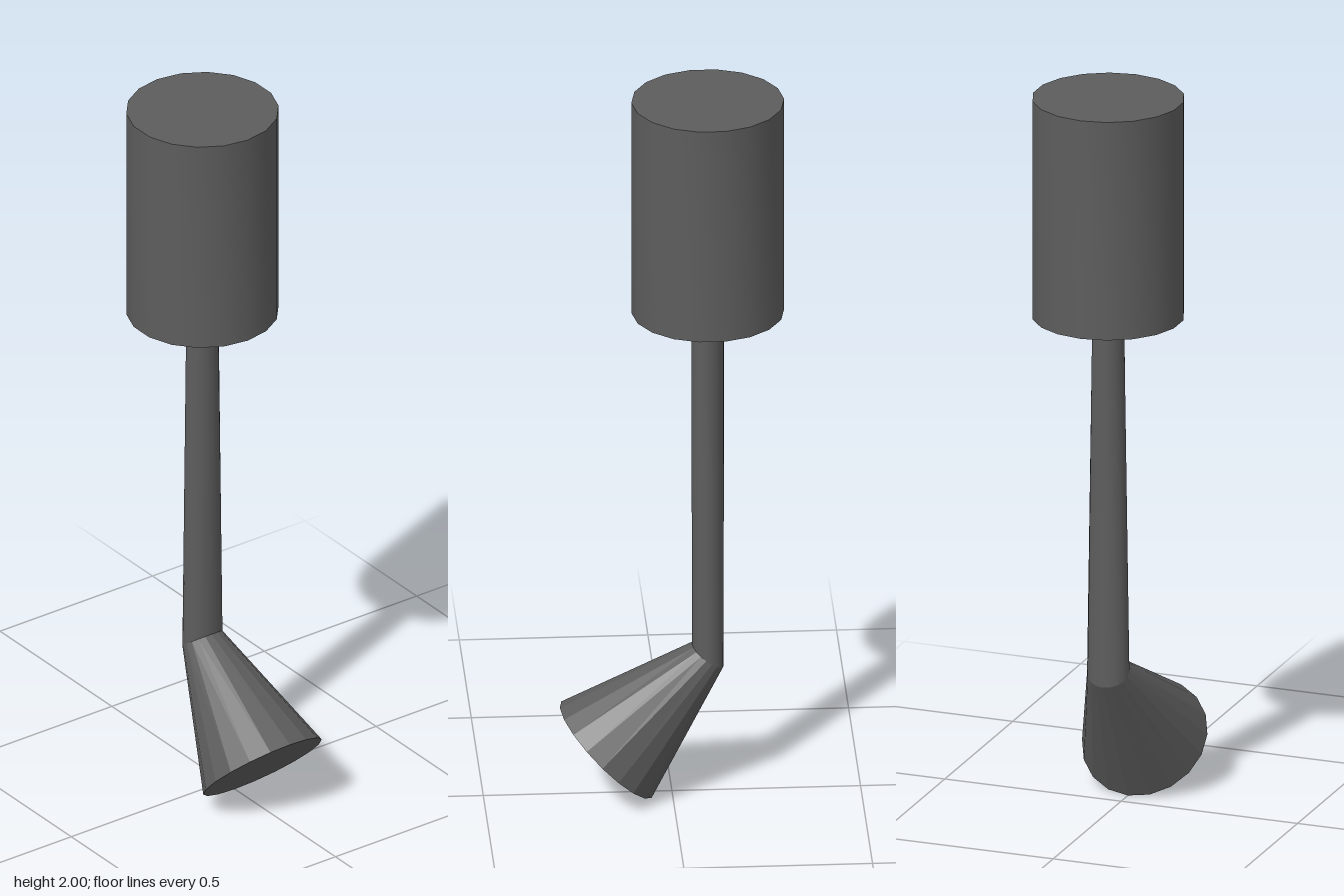
import * as THREE from 'three';
import { toCreasedNormals } from 'three/addons/utils/BufferGeometryUtils.js';

const SIDES = 18;
const AXIS = -0.095;

// Tilted elliptical ring: left end (x0,y0), right end (x1,y1), half depth rz
const ring = (x0, y0, x1, y1, rz) => ({
  point: (j) => {
    const a = ((j % SIDES) / SIDES) * Math.PI * 2;
    const t = (1 + Math.cos(a)) / 2;
    return [x0 + (x1 - x0) * t, y0 + (y1 - y0) * t, Math.sin(a) * rz];
  },
  isTip: rz === 0,
});
const level = (y, r) => ring(AXIS - r, y, AXIS + r, y, r);
const tip = (x, y) => ring(x, y, x, y, 0);

// Skin a list of rings, ordered from top to bottom
function loft(rings, crease) {
  const pos = [];
  for (let i = 0; i < rings.length - 1; i++) {
    const up = rings[i], low = rings[i + 1];
    for (let j = 0; j < SIDES; j++) {
      const a = up.point(j), b = up.point(j + 1);
      const c = low.point(j), d = low.point(j + 1);
      if (!up.isTip) pos.push(...a, ...b, ...c);
      if (!low.isTip) pos.push(...b, ...d, ...c);
    }
  }
  const geo = new THREE.BufferGeometry();
  geo.setAttribute('position', new THREE.Float32BufferAttribute(pos, 3));
  return toCreasedNormals(geo, crease);
}

export function createModel() {
  const group = new THREE.Group();
  group.name = 'bentRodWithHandle';
  const material = new THREE.MeshStandardMaterial({ color: 0x5d5d5d });

  const neck = level(1.37, 0.043);
  const bend = ring(-0.137, 0.362, -0.053, 0.424, 0.058);
  const mouth = ring(0.05, 0, 0.297, 0.248, 0.172);

  const addPart = (name, rings, crease) => {
    const mesh = new THREE.Mesh(loft(rings, crease), material);
    mesh.name = name;
    group.add(mesh);
  };
  // Thick cylinder with a flat top and shallow conical underside
  addPart('handle', [tip(AXIS, 2), level(2, 0.2025), level(1.39, 0.2025), neck], 0.6);
  // Thin shaft, widening in depth toward the mitred bend
  addPart('shaft', [neck, bend], 0.6);
  // Faceted flared foot, closed by a slanted flat cap
  addPart('flaredFoot', [bend, mouth, tip(0.1735, 0.124)], 0.02);
  return group;
}
